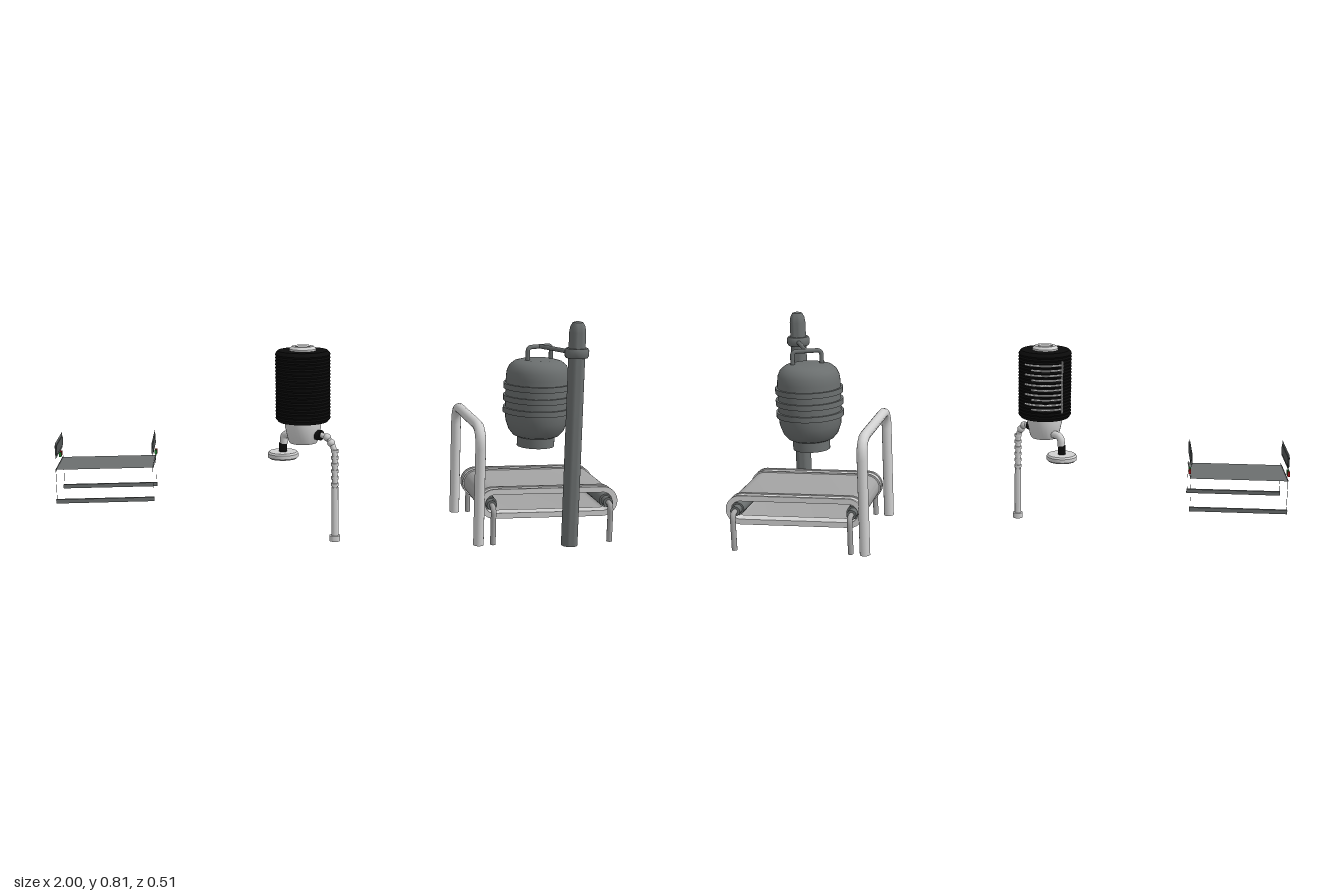
import * as THREE from 'three';
import { toCreasedNormals } from 'three/addons/utils/BufferGeometryUtils.js';

const V = (x, y, z) => new THREE.Vector3(x, y, z);

function mat(name, color, side = THREE.FrontSide) {
  const m = new THREE.MeshStandardMaterial({ color, side });
  m.name = name;
  return m;
}

export function createModel() {
  const model = new THREE.Group();
  const light = mat('lightMetal', 0xd2d2d2);
  const dark = mat('darkSteel', 0x6b6f6f, THREE.DoubleSide);
  const beltGrey = mat('beltGrey', 0xa4a4a4);
  const black = mat('black', 0x0b0b0b);
  const screenGrey = mat('screenGrey', 0x545858);
  const green = mat('greenButton', 0x1f8a2f);
  const red = mat('redButton', 0xc01818);

  const add = (parent, name, geo, material, x = 0, y = 0, z = 0) => {
    const m = new THREE.Mesh(geo, material);
    m.name = name;
    m.position.set(x, y, z);
    parent.add(m);
    return m;
  };
  const group = (name) => {
    const g = new THREE.Group();
    g.name = name;
    model.add(g);
    return g;
  };
  // Turned part from [radius, height] pairs
  const lathe = (pts, seg = 32) => toCreasedNormals(
    new THREE.LatheGeometry(pts.map(([r, y]) => new THREE.Vector2(r, y)), seg), 0.6);
  // Capped upright cylinder between two heights
  const post = (r, y0, y1, seg = 20) => lathe([[0, y0], [r, y0], [r, y1], [0, y1]], seg);
  // Capped pipe through points, with rounded bends
  const pipe = (parent, name, pts, r, bend, material) => {
    const path = new THREE.CurvePath();
    let last = pts[0];
    for (let i = 1; i < pts.length - 1; i++) {
      const a = pts[i].clone().add(pts[i - 1].clone().sub(pts[i]).setLength(bend));
      const b = pts[i].clone().add(pts[i + 1].clone().sub(pts[i]).setLength(bend));
      path.add(new THREE.LineCurve3(last, a));
      path.add(new THREE.QuadraticBezierCurve3(a, pts[i], b));
      last = b;
    }
    const end = pts[pts.length - 1];
    path.add(new THREE.LineCurve3(last, end));
    add(parent, name, new THREE.TubeGeometry(path, 60, r, 12), material);
    [[pts[0], pts[1]], [end, pts[pts.length - 2]]].forEach(([p, q]) => {
      const cap = add(parent, name + 'End', new THREE.CircleGeometry(r, 12), material, p.x, p.y, p.z);
      cap.quaternion.setFromUnitVectors(V(0, 0, 1), p.clone().sub(q).normalize());
    });
  };

  // ---- Control table ----
  const table = group('controlTable');
  const top = add(table, 'tableTop', new THREE.PlaneGeometry(0.34, 0.2), dark, -0.827, 0.29, -0.01);
  top.rotation.x = -Math.PI / 2;
  for (const s of [-1, 1]) {
    const x = -0.827 + s * 0.167;
    const strip = (name, w, h, y, z) => {
      add(table, name, new THREE.PlaneGeometry(w, h), dark, x, y, z).rotation.y = s * Math.PI / 2;
    };
    strip('sideRail', 0.225, 0.01, 0.289, -0.006);
    strip('tableLeg', 0.01, 0.115, 0.232, 0.1);
    strip('tableLeg', 0.01, 0.115, 0.232, -0.113);
    strip('screenFrame', 0.2, 0.056, 0.356, -0.01);
    add(table, 'screen', new THREE.BoxGeometry(0.006, 0.034, 0.18), screenGrey, x, 0.356, -0.01);
    add(table, 'greenButton', new THREE.BoxGeometry(0.008, 0.016, 0.012), green, x + s * 0.004, 0.31, -0.066);
    add(table, 'redButton', new THREE.BoxGeometry(0.008, 0.016, 0.012), red, x + s * 0.004, 0.31, -0.09);
  }
  for (const z of [0.1, -0.113])
    add(table, 'footBar', new THREE.BoxGeometry(0.34, 0.014, 0.01), dark, -0.827, 0.179, z);

  // ---- Ribbed tank with hose ----
  const tank = group('ribbedTank');
  const tx = -0.13, tz = 0.1;
  const ribs = [[0, 0.45], [0.088, 0.45]];
  for (let i = 0; i <= 40; i++) ribs.push([i % 2 ? 0.097 : 0.094, 0.457 + i * 0.0059]);
  ribs.push([0.088, 0.7], [0, 0.7]);
  add(tank, 'tankBody', lathe(ribs), black, tx, 0, tz);
  add(tank, 'tankCap', lathe([[0.047, 0.698], [0.047, 0.706], [0.038, 0.715], [0.026, 0.715]]), light, tx, 0, tz);
  add(tank, 'capPlug', post(0.026, 0.7, 0.713), beltGrey, tx, 0, tz);
  add(tank, 'tankBase', lathe([[0, 0.372], [0.048, 0.372], [0.053, 0.38], [0.064, 0.43], [0.064, 0.452], [0, 0.452]]),
    light, tx, 0, tz);
  // Rungs wrapped around the rear of the tank, alternately long and short
  for (let i = 0; i < 10; i++) {
    const from = i % 2 ? -0.75 : -0.45, pts = [];
    for (let k = 0; k <= 8; k++) {
      const a = from + (0.75 - from) * k / 8;
      pts.push(V(tx - Math.sin(a) * 0.097, 0.495 + i * 0.018, tz - Math.cos(a) * 0.097));
    }
    add(tank, 'rung', new THREE.TubeGeometry(new THREE.CatmullRomCurve3(pts), 16, 0.0035, 6), light);
  }
  add(tank, 'rungUpright', post(0.0035, 0.48, 0.67, 8), light, tx - Math.sin(0.75) * 0.098, 0, tz - Math.cos(0.75) * 0.098);
  // Disc spout
  pipe(tank, 'spoutPipe', [V(-0.15, 0.395, 0.075), V(-0.195, 0.39, 0.035), V(-0.195, 0.355, 0.035)], 0.014, 0.02, light);
  add(tank, 'spoutStem', post(0.014, 0.325, 0.358), black, -0.198, 0, 0.033);
  add(tank, 'spoutDisc', lathe([[0, 0.302], [0.05, 0.302], [0.055, 0.307], [0.055, 0.32], [0.05, 0.326], [0, 0.326]]),
    light, -0.198, 0, 0.033);
  // Ribbed hose and standpipe
  const hose = [V(-0.095, 0.405, 0.125), V(-0.05, 0.405, 0.158), V(-0.025, 0.36, 0.176), V(-0.025, 0.22, 0.176)];
  pipe(tank, 'hose', hose, 0.01, 0.025, light);
  const elbow = add(tank, 'hoseJoint', new THREE.CylinderGeometry(0.018, 0.018, 0.022, 16), black, -0.078, 0.405, 0.138);
  elbow.quaternion.setFromUnitVectors(V(0, 1, 0), hose[1].clone().sub(hose[0]).normalize());
  for (let i = 0; i < 6; i++)
    add(tank, 'hoseRing', post(0.0135, -0.005, 0.005, 12), light, -0.025, 0.235 + i * 0.024, 0.176);
  for (const [x, y, z] of [[-0.05, 0.4, 0.158], [-0.037, 0.382, 0.167]])
    add(tank, 'hoseBead', new THREE.SphereGeometry(0.014, 12, 8), light, x, y, z);
  add(tank, 'standpipe', post(0.012, 0.04, 0.225, 16), light, -0.025, 0, 0.176);
  add(tank, 'standpipeFoot', post(0.019, 0.03, 0.05, 16), light, -0.025, 0, 0.176);

  // ---- Conveyor ----
  const conveyor = group('conveyor');
  const x0 = 0.55, x1 = 0.946, cy = 0.146;
  const stadium = (S, r) => {
    const s = new S();
    s.moveTo(x0, cy - r);
    s.lineTo(x1, cy - r);
    s.absarc(x1, cy, r, -Math.PI / 2, Math.PI / 2, false);
    s.lineTo(x0, cy + r);
    s.absarc(x0, cy, r, Math.PI / 2, Math.PI * 1.5, false);
    return s;
  };
  const loop = (name, rOut, rIn, z0, z1, material) => {
    const s = stadium(THREE.Shape, rOut);
    s.holes.push(stadium(THREE.Path, rIn));
    const g = new THREE.ExtrudeGeometry(s, { depth: z1 - z0, bevelEnabled: false, curveSegments: 16 });
    add(conveyor, name, toCreasedNormals(g, 0.6), material, 0, 0, z0);
  };
  const mid = -0.008;
  loop('belt', 0.049, 0.037, mid - 0.134, mid + 0.134, beltGrey);
  for (const s of [-1, 1]) {
    const band = (name, r, a, b) => loop(name, r, 0.034, mid + Math.min(s * a, s * b), mid + Math.max(s * a, s * b), light);
    band('innerRim', 0.054, 0.132, 0.14);
    band('sideBand', 0.05, 0.14, 0.168);
    band('outerRim', 0.054, 0.168, 0.178);
  }
  for (const x of [0.536, 0.961]) {
    const roller = add(conveyor, 'roller', new THREE.CylinderGeometry(0.024, 0.024, 0.33, 20), dark, x, cy, mid);
    roller.rotation.x = Math.PI / 2;
    for (const s of [-1, 1]) {
      const hub = add(conveyor, 'hub', new THREE.CylinderGeometry(0.018, 0.018, 0.036, 16), dark, x, cy, mid + s * 0.176);
      hub.rotation.x = Math.PI / 2;
      pipe(conveyor, 'conveyorLeg', [V(x, cy, mid + s * 0.185), V(x, cy, mid + s * 0.222), V(x, 0.01, mid + s * 0.222)],
        0.01, 0.025, beltGrey);
    }
  }

  // ---- Arched guard rail ----
  pipe(group('guardRail'), 'archPipe',
    [V(0.484, 0.01, 0.213), V(0.484, 0.433, 0.213), V(0.484, 0.433, -0.232), V(0.484, 0.01, -0.232)], 0.019, 0.07, light);

  // ---- Hanging vessel ----
  const vessel = group('vessel');
  const vx = 0.73, vz = 0.025;
  add(vessel, 'vesselBody', lathe([[0, 0.362], [0.07, 0.362], [0.084, 0.368], [0.1, 0.387], [0.112, 0.42], [0.115, 0.45],
    [0.115, 0.58], [0.112, 0.604], [0.103, 0.624], [0.086, 0.638], [0.06, 0.645], [0, 0.646]], 40), dark, vx, 0, vz);
  add(vessel, 'nozzle', post(0.068, 0.326, 0.37, 32), dark, vx, 0, vz);
  for (const y of [0.462, 0.506, 0.55])
    add(vessel, 'band', lathe([[0.112, y - 0.01], [0.123, y - 0.01], [0.123, y + 0.01], [0.112, y + 0.01]], 40), dark, vx, 0, vz);
  pipe(vessel, 'handle', [V(0.685, 0.63, 0.046), V(0.685, 0.692, 0.046), V(0.782, 0.692, 0.004), V(0.782, 0.63, 0.004)],
    0.008, 0.016, dark);
  pipe(vessel, 'hangerArm', [V(0.735, 0.692, 0.025), V(0.815, 0.692, 0.2)], 0.008, 0, dark);

  // ---- Support column ----
  const column = group('supportColumn');
  add(column, 'columnPost', lathe([[0, 0], [0.029, 0], [0.029, 0.765], [0.026, 0.785], [0.018, 0.8], [0, 0.805]], 24),
    dark, 0.815, 0, 0.213);
  add(column, 'columnCollar', lathe([[0.028, 0.677], [0.038, 0.677], [0.042, 0.684], [0.042, 0.703], [0.038, 0.71],
    [0.028, 0.71]], 24), dark, 0.815, 0, 0.213);
  return model;
}
